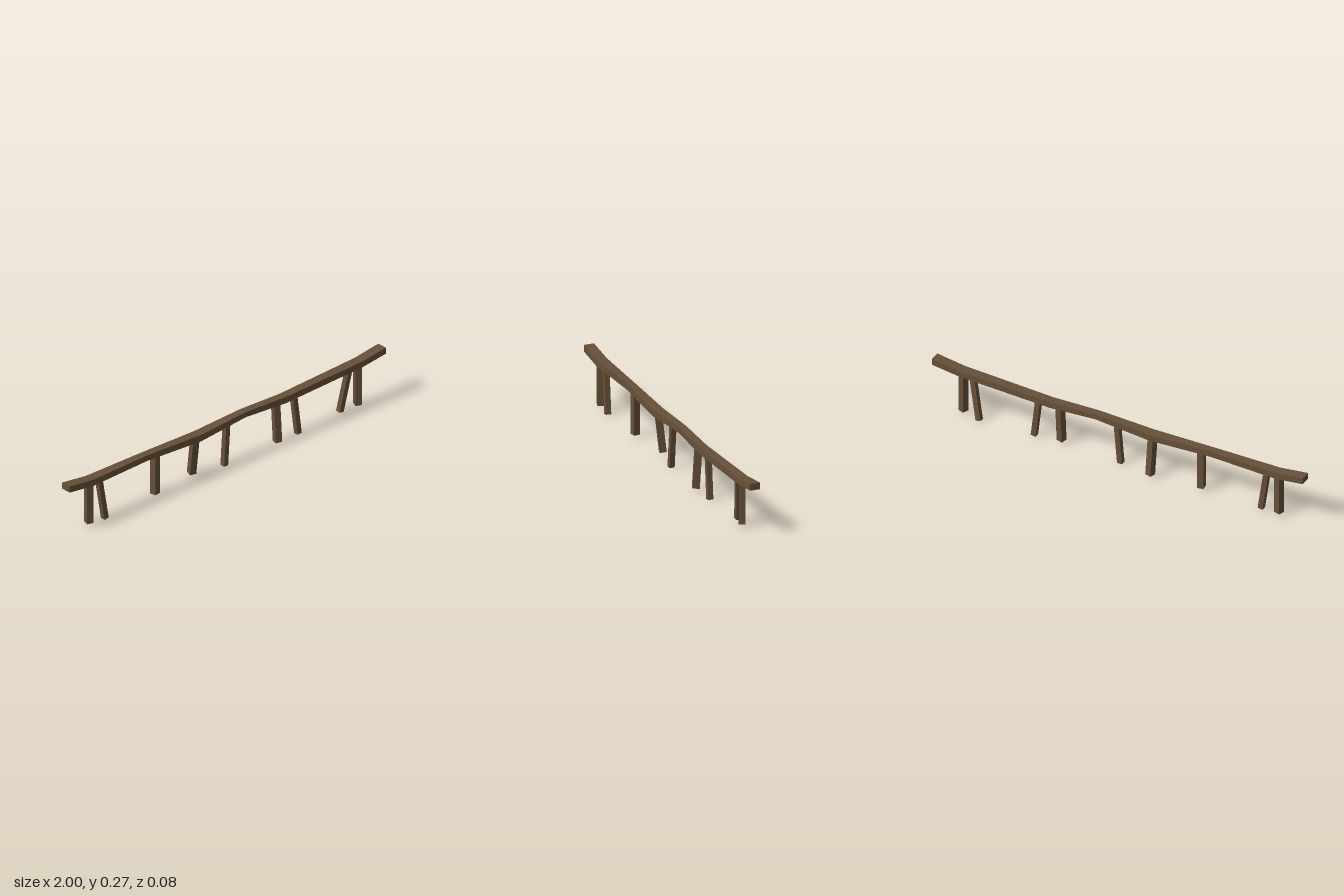
import * as THREE from 'three';

const wood = new THREE.MeshStandardMaterial({ color: 0x665039, flatShading: true });

// Square post running from a foot point to a head point, turned about its own axis
function post(name, foot, head, size, turn) {
  const a = new THREE.Vector3(...foot), b = new THREE.Vector3(...head);
  const axis = b.clone().sub(a);
  const mesh = new THREE.Mesh(new THREE.BoxGeometry(size, axis.length(), size), wood);
  mesh.position.copy(a).add(b).multiplyScalar(0.5);
  mesh.quaternion.setFromUnitVectors(new THREE.Vector3(0, 1, 0), axis.normalize());
  mesh.rotateY(turn);
  mesh.name = name;
  return mesh;
}

// Warped rail: a segmented box whose columns are moved onto hand-set sections
function rail() {
  // x, bottom, top, back z, front z
  const sections = [
    [-1, 0.237, 0.27, -0.018, 0.034],
    [-0.85, 0.217, 0.25, -0.018, 0.034],
    [-0.5, 0.219, 0.249, -0.012, 0.027],
    [-0.17, 0.202, 0.236, -0.017, 0.034],
    [0.12, 0.221, 0.249, -0.012, 0.027],
    [0.37, 0.204, 0.237, -0.014, 0.03],
    [0.85, 0.219, 0.25, -0.018, 0.034],
    [1, 0.237, 0.27, -0.018, 0.034],
  ];
  const n = sections.length - 1;
  const geo = new THREE.BoxGeometry(n, 1, 1, n, 1, 1);
  const p = geo.attributes.position;
  for (let i = 0; i < p.count; i++) {
    const [x, low, high, back, front] = sections[Math.round(p.getX(i) + n / 2)];
    p.setXYZ(i, x, p.getY(i) > 0 ? high : low, p.getZ(i) > 0 ? front : back);
  }
  geo.computeVertexNormals();
  const mesh = new THREE.Mesh(geo, wood);
  mesh.name = 'rail';
  return mesh;
}

export function createModel() {
  const group = new THREE.Group();
  group.name = 'fenceRail';
  group.add(rail());

  // Main posts: x, foot z, head z, turn
  const posts = [
    [-0.857, 0.009, 0.009, -0.3],
    [-0.438, 0.009, 0.009, 0.15],
    [-0.179, -0.021, 0.004, -0.25],
    [0.324, 0.024, 0.01, -0.25],
    [0.845, 0.009, 0.009, -0.38],
  ];
  for (const [x, footZ, headZ, turn] of posts) {
    group.add(post('post', [x, 0.015, footZ], [x, 0.225, headZ], 0.033, turn));
  }

  // Slimmer leaning props: foot x, head x, foot z, head z
  const props = [
    [-0.759, -0.793, 0.014, 0.009],
    [-0.002, 0.015, 0.012, 0.009],
    [0.464, 0.437, 0.012, 0.009],
    [0.749, 0.791, -0.01, 0.006],
  ];
  for (const [footX, headX, footZ, headZ] of props) {
    group.add(post('prop', [footX, 0.004, footZ], [headX, 0.222, headZ], 0.026, 0));
  }
  return group;
}
